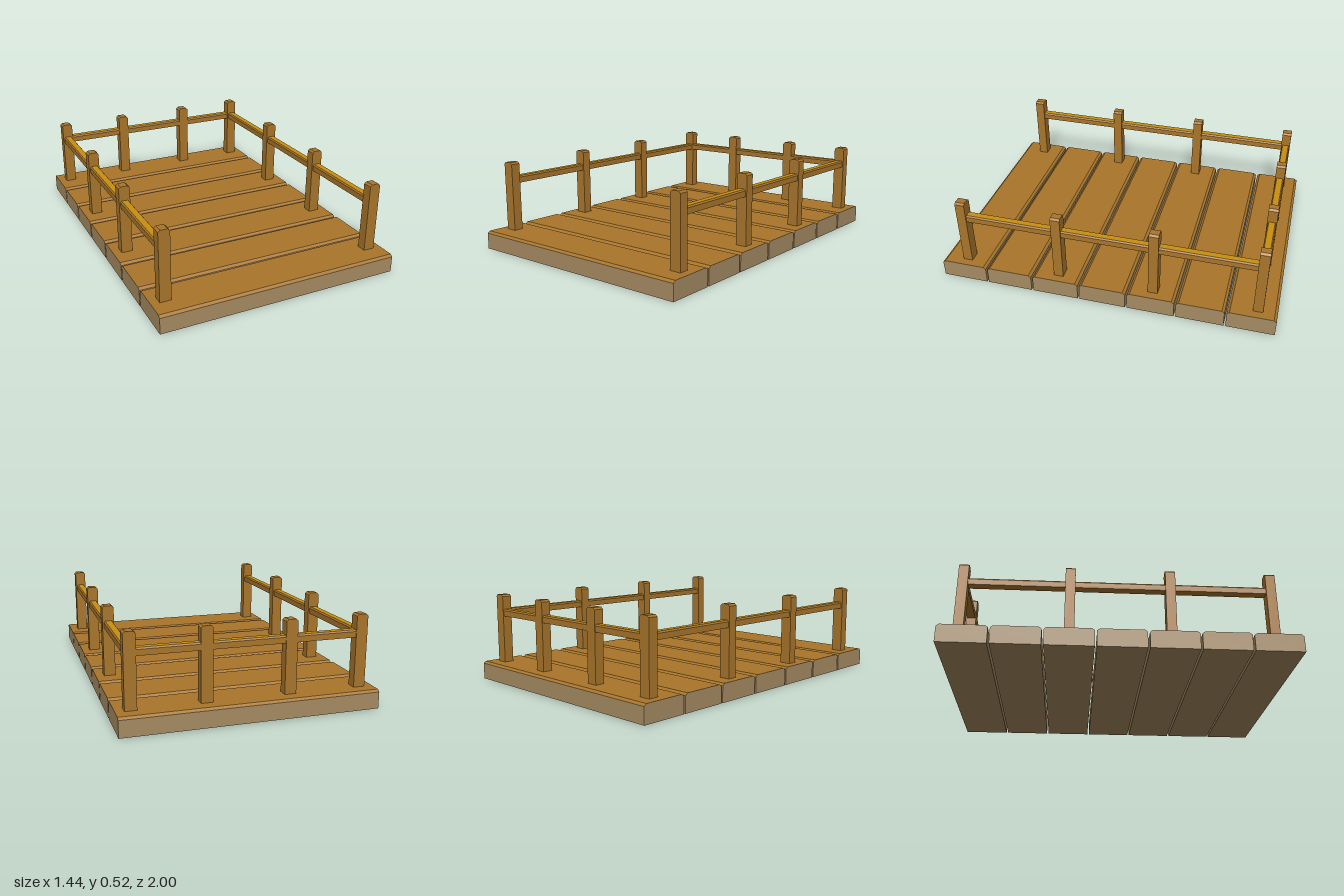
import * as THREE from 'three';

const mat = (name, color) => {
  const m = new THREE.MeshStandardMaterial({ color });
  m.name = name;
  return m;
};

// Block with its two long top edges chamfered; runs along z, centred, bottom at y = 0
function chamferedBlock(width, height, length, cutX, cutY) {
  const w = width / 2;
  const shape = new THREE.Shape([
    [-w, 0], [w, 0], [w, height - cutY], [w - cutX, height],
    [-w + cutX, height], [-w, height - cutY],
  ].map(([x, y]) => new THREE.Vector2(x, y)));
  const geo = new THREE.ExtrudeGeometry(shape, { depth: length, bevelEnabled: false });
  return geo.translate(0, 0, -length / 2);
}

// Second material on every face whose normal points up more than the limit
function splitTop(geo, limit) {
  const normal = geo.attributes.normal;
  geo.clearGroups();
  for (let i = 0; i < normal.count; i += 3) {
    geo.addGroup(i, 3, normal.getY(i) > limit ? 1 : 0);
  }
  return geo;
}

export function createModel() {
  const brown = mat('brown wood', 0xa9762b);
  const tan = mat('pale cut wood', 0xa68b62);
  const gold = mat('golden wood', 0xc99010);

  const model = new THREE.Group();
  model.name = 'railedDeck';
  const add = (name, geo, material, x, y, z, turned = false) => {
    const mesh = new THREE.Mesh(geo, material);
    mesh.name = name;
    mesh.position.set(x, y, z);
    if (turned) mesh.rotation.y = Math.PI / 2;
    model.add(mesh);
  };

  // Deck planks, laid across
  const deckTop = 0.107;
  const plank = splitTop(chamferedBlock(0.276, deckTop, 1.444, 0.015, 0.012), 0.1);
  for (let i = 0; i < 7; i++) {
    add('plank', plank, [tan, brown], 0, 0, (i - 3) * 0.2873, true);
  }

  // Posts along both sides and the back
  const sideX = 0.641, backZ = -0.891, frontZ = 0.857;
  const post = chamferedBlock(0.066, 0.52 - deckTop, 0.057, 0.012, 0.011);
  for (const z of [frontZ, 0.278, -0.29, backZ]) {
    for (const side of [-1, 1]) add('post', post, brown, side * sideX, deckTop, z);
  }
  for (const x of [-0.23, 0.239]) add('backPost', post, brown, x, deckTop, backZ);

  // Handrails with golden tops, ending inside the posts
  const rail = (length) => splitTop(chamferedBlock(0.05, 0.042, length, 0.007, 0.009), 0.9);
  const sideRail = rail(frontZ - backZ);
  for (const side of [-1, 1]) {
    add('sideRail', sideRail, [brown, gold], side * sideX, 0.391, (frontZ + backZ) / 2);
  }
  add('backRail', rail(sideX * 2), [brown, gold], 0, 0.391, backZ, true);

  return model;
}
